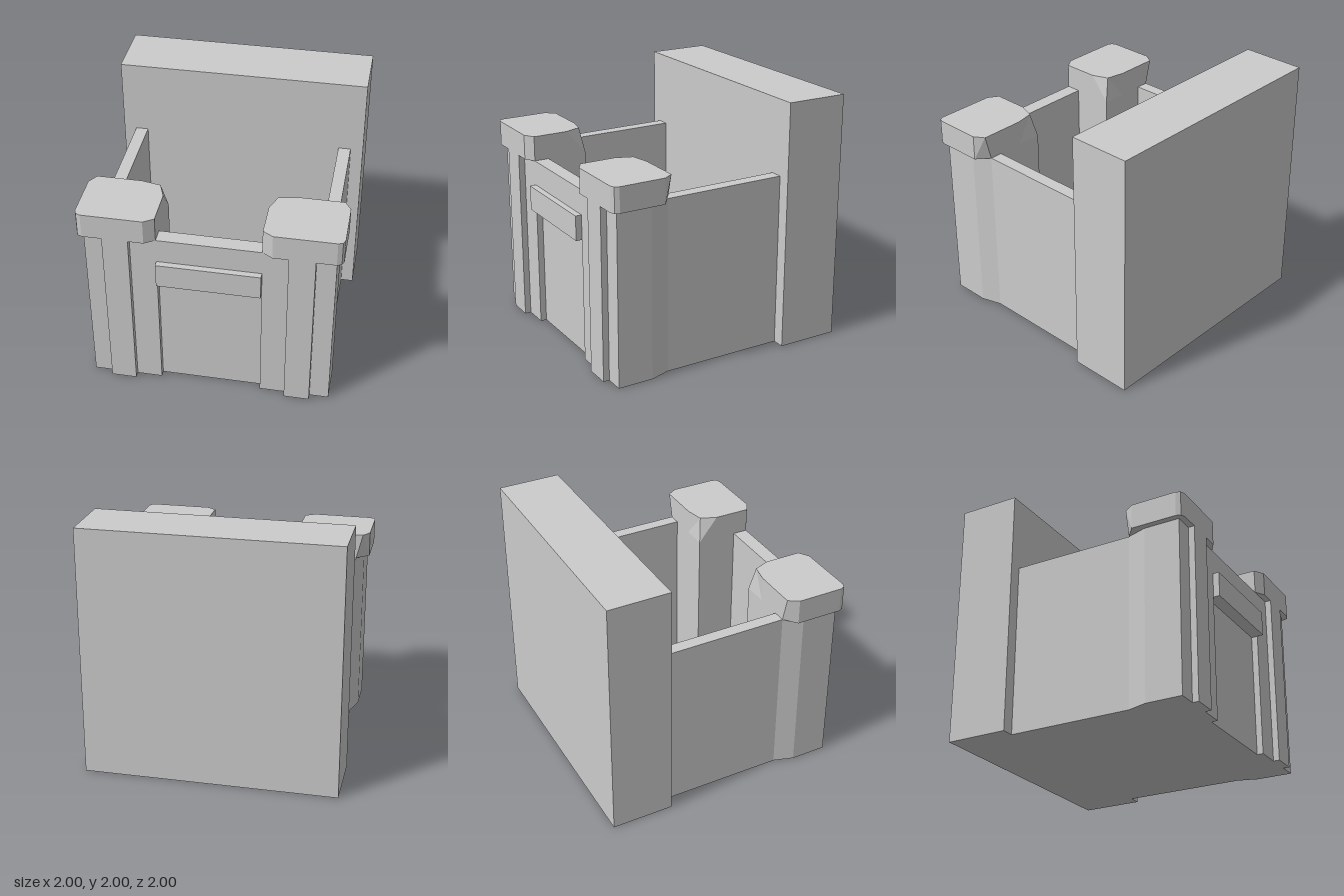
import * as THREE from 'three';

const material = new THREE.MeshStandardMaterial({ color: 0xcccccc, flatShading: true });

// Upright prism from a plan of [x, z] corners
function prism(name, plan, y0, y1) {
  const shape = new THREE.Shape(plan.map(([x, z]) => new THREE.Vector2(x, -z)));
  const geo = new THREE.ExtrudeGeometry(shape, { depth: y1 - y0, bevelEnabled: false });
  geo.rotateX(-Math.PI / 2).translate(0, y0, 0);
  const mesh = new THREE.Mesh(geo, material);
  mesh.name = name;
  return mesh;
}

// Box given by its limits on each axis
function block(name, x0, x1, y0, y1, z0, z1) {
  const geo = new THREE.BoxGeometry(x1 - x0, y1 - y0, z1 - z0);
  geo.translate((x0 + x1) / 2, (y0 + y1) / 2, (z0 + z1) / 2);
  const mesh = new THREE.Mesh(geo, material);
  mesh.name = name;
  return mesh;
}

// Closed solid between a lower and an upper ring of [x, z] corners
function loft(name, lower, upper, y0, y1, side) {
  const pos = [];
  const n = lower.length;
  const tri = (a, b, c) => {
    for (const p of side > 0 ? [a, b, c] : [a, c, b]) pos.push(side * p[0], p[1], p[2]);
  };
  const b = lower.map(([x, z]) => [x, y0, z]);
  const t = upper.map(([x, z]) => [x, y1, z]);
  for (let i = 0; i < n; i++) {
    const j = (i + 1) % n;
    tri(b[i], b[j], t[j]);
    tri(b[i], t[j], t[i]);
    if (i > 0 && i < n - 1) {
      tri(t[0], t[i], t[j]);
      tri(b[0], b[j], b[i]);
    }
  }
  const geo = new THREE.BufferGeometry();
  geo.setAttribute('position', new THREE.Float32BufferAttribute(pos, 3));
  geo.computeVertexNormals();
  const mesh = new THREE.Mesh(geo, material);
  mesh.name = name;
  return mesh;
}

export function createModel() {
  const model = new THREE.Group();
  model.name = 'walledEnclosure';

  // Tall back wall and the floor between the walls
  model.add(block('backWall', -1, 1, 0, 2, -1, -0.5));
  model.add(prism('floor', [
    [-0.8, -0.5], [0.8, -0.5], [0.8, 0.5], [0.4, 0.5],
    [0.4, 0.83], [-0.4, 0.83], [-0.4, 0.5], [-0.8, 0.5],
  ], 0, 0.1));

  // Front wall: recessed panel, upper band and projecting ledge
  model.add(block('frontPanel', -0.4, 0.4, 0, 1.4, 0.83, 0.9));
  model.add(block('frontBand', -0.4, 0.4, 1, 1.4, 0.9, 0.95));
  model.add(block('frontLedge', -0.4, 0.4, 1, 1.2, 0.95, 1));

  // Pillar plan with a raised front strip and a tapered outer back corner
  const pillar = [
    [0.4, 0.5], [0.9, 0.5], [0.95, 0.66], [0.95, 0.95], [0.8, 0.95],
    [0.8, 1], [0.6, 1], [0.6, 0.95], [0.4, 0.95],
  ];
  // Cap rings: the back corners lean in towards the top
  const capTop = [
    [0.48, 1], [0.95, 1], [0.985, 0.985], [1, 0.95], [1, 0.58],
    [0.95, 0.5], [0.6, 0.5], [0.45, 0.53], [0.4, 0.66], [0.4, 0.95],
  ];
  const capBottom = capTop.map((p) => [...p]);
  capBottom[5] = [0.9, 0.5];
  capBottom[7] = [0.4, 0.5];

  for (const side of [1, -1]) {
    const label = side > 0 ? 'left' : 'right';
    const [inner, outer] = side > 0 ? [0.8, 0.9] : [-0.9, -0.8];
    model.add(block(label + 'Wall', inner, outer, 0, 1.4, -0.5, 0.5));
    model.add(prism(label + 'Pillar', pillar.map(([x, z]) => [side * x, z]), 0, 1.4));
    model.add(loft(label + 'PillarCap', capBottom, capTop, 1.4, 1.6, side));
  }
  return model;
}
